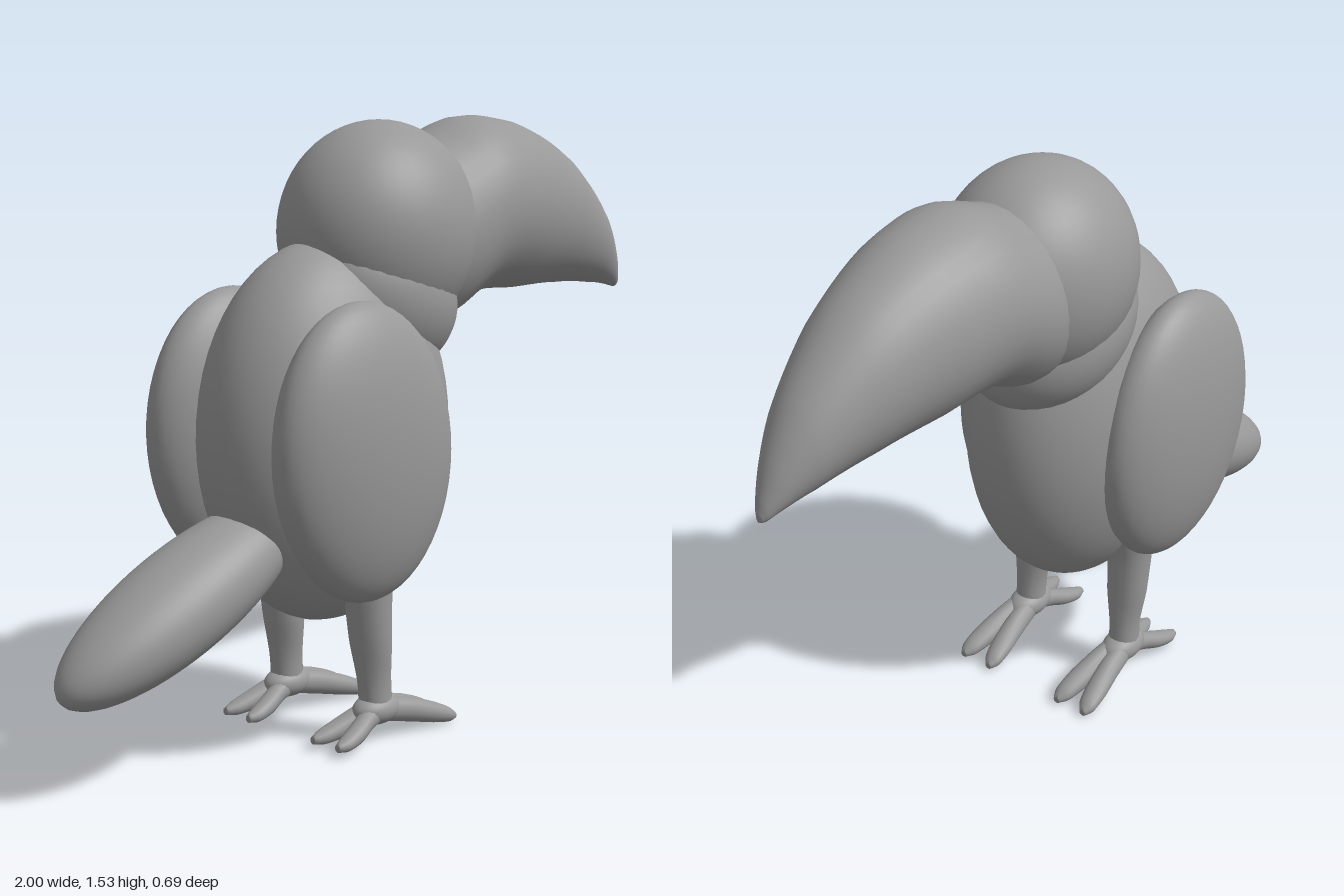
import * as THREE from 'three';

const plumage = new THREE.MeshStandardMaterial({ color: 0x999999 });
plumage.name = 'plain grey';

function add(parent, name, geometry) {
  const mesh = new THREE.Mesh(geometry, plumage);
  mesh.name = name;
  parent.add(mesh);
  return mesh;
}

// Ellipsoid with its poles along y
function ellipsoid(parent, name, [x, y, z], [rx, ry, rz], tilt = 0) {
  const mesh = add(parent, name, new THREE.SphereGeometry(1, 40, 28));
  mesh.position.set(x, y, z);
  mesh.scale.set(rx, ry, rz);
  mesh.rotation.z = tilt;
  return mesh;
}

// Loft of elliptical rings: each station is [x, y, z, radius along up, radius along z]
function loft(stations, up, steps = 24, sides = 24) {
  const centres = new THREE.CatmullRomCurve3(stations.map(s => new THREE.Vector3(s[0], s[1], s[2])));
  const radii = new THREE.CatmullRomCurve3(stations.map(s => new THREE.Vector3(s[3], s[4], 0)));
  const pos = [], index = [];
  for (let i = 0; i <= steps; i++) {
    const c = centres.getPoint(i / steps), r = radii.getPoint(i / steps);
    for (let j = 0; j < sides; j++) {
      const a = j / sides * Math.PI * 2, u = Math.cos(a) * r.x;
      pos.push(c.x + up[0] * u, c.y + up[1] * u, c.z + Math.sin(a) * r.y);
      if (i < steps) {
        const k = (j + 1) % sides, p = i * sides;
        index.push(p + j, p + k, p + sides + j, p + k, p + sides + k, p + sides + j);
      }
    }
  }
  // End caps
  const last = steps * sides;
  for (let j = 1; j < sides - 1; j++) {
    index.push(0, j + 1, j, last, last + j, last + j + 1);
  }
  const g = new THREE.BufferGeometry();
  g.setAttribute('position', new THREE.Float32BufferAttribute(pos, 3));
  g.setIndex(index);
  g.computeVertexNormals();
  return g;
}

export function createModel() {
  const bird = new THREE.Group();
  bird.name = 'bird';

  // Torso, neck and head
  ellipsoid(bird, 'body', [-0.16, 0.77, 0], [0.365, 0.48, 0.25]);
  ellipsoid(bird, 'neck', [-0.01, 1.1, 0], [0.255, 0.2, 0.213], -0.5);
  ellipsoid(bird, 'head', [0.03, 1.255, 0], [0.272, 0.275, 0.237]);

  // Large curved beak, from [x, top, bottom, half width]
  const beak = [
    [0.08, 1.43, 1.0, 0.19], [0.2, 1.485, 1.01, 0.207], [0.33, 1.53, 1.07, 0.213],
    [0.5, 1.515, 1.07, 0.193], [0.7, 1.43, 1.068, 0.147], [0.87, 1.285, 1.055, 0.09],
    [0.95, 1.17, 1.043, 0.048], [0.99, 1.085, 1.033, 0.02], [1.0, 1.055, 1.035, 0.008],
  ].map(([x, t, b, w]) => [x, (t + b) / 2, 0, (t - b) / 2, w]);
  add(bird, 'beak', loft(beak, [0, 1], 40, 32));

  // Tail slanting down behind the body
  ellipsoid(bird, 'tail', [-0.635, 0.425, 0], [0.395, 0.122, 0.145], 0.44);

  for (const s of [1, -1]) {
    const side = s > 0 ? 'left' : 'right';
    // Folded wing
    ellipsoid(bird, side + 'Wing', [-0.25, 0.755, s * 0.225], [0.28, 0.367, 0.118], 0.1);

    // Leg, wide at the thigh
    const leg = new THREE.Group();
    leg.name = side + 'Leg';
    bird.add(leg);
    add(leg, 'shank', loft([
      [-0.17, 0.48, s * 0.155, 0.08, 0.07], [-0.167, 0.38, s * 0.157, 0.06, 0.06],
      [-0.158, 0.26, s * 0.157, 0.052, 0.055], [-0.147, 0.14, s * 0.16, 0.045, 0.039],
      [-0.143, 0.06, s * 0.161, 0.045, 0.04],
    ], [1, 0], 16, 16));
    ellipsoid(leg, 'ankle', [-0.14, 0.082, s * 0.161], [0.075, 0.04, 0.048]);

    // Two toes forward and two back
    for (const d of [1, -1]) {
      const z = k => s * 0.161 + d * k;
      add(leg, 'frontToe', loft([
        [-0.16, 0.085, z(0.01), 0.03, 0.025], [-0.06, 0.065, z(0.02), 0.033, 0.03],
        [0.02, 0.042, z(0.032), 0.029, 0.031], [0.075, 0.025, z(0.04), 0.021, 0.025],
        [0.1, 0.017, z(0.043), 0.009, 0.01],
      ], [0, 1], 14, 14));
      add(leg, 'backToe', loft([
        [-0.32, 0.03, z(0.043), 0.01, 0.01], [-0.29, 0.034, z(0.04), 0.019, 0.023],
        [-0.24, 0.048, z(0.03), 0.026, 0.028], [-0.19, 0.068, z(0.017), 0.028, 0.027],
        [-0.12, 0.085, z(0.01), 0.028, 0.025],
      ], [0, 1], 14, 14));
    }
  }
  return bird;
}
